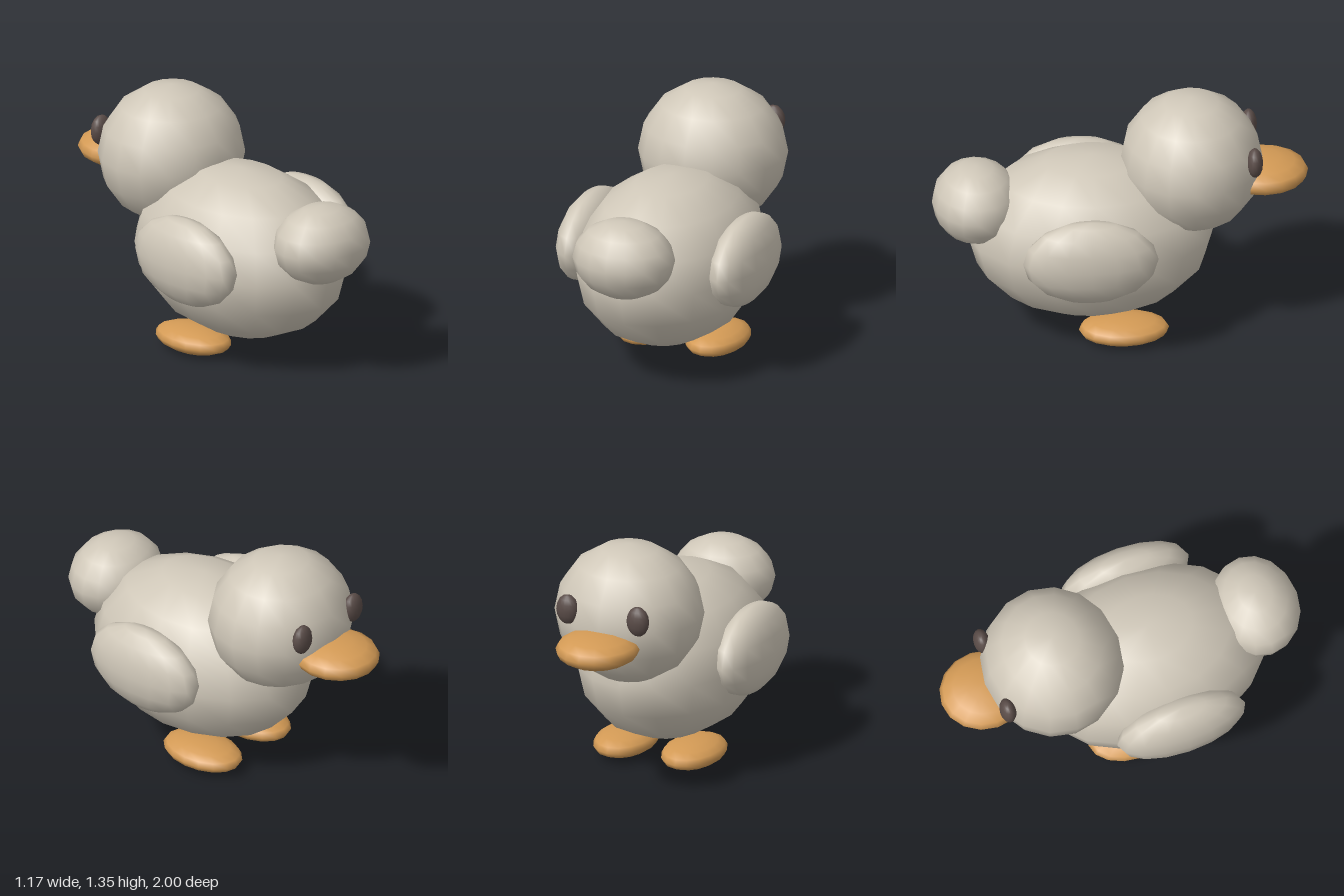
import * as THREE from 'three';

const material = (name, color) => {
  const m = new THREE.MeshStandardMaterial({ color });
  m.name = name;
  return m;
};

// Low-sided ellipsoid with smooth normals
function ellipsoid(name, mat, [x, y, z], [rx, ry, rz]) {
  const geometry = new THREE.SphereGeometry(1, 16, 8).scale(rx, ry, rz);
  const mesh = new THREE.Mesh(geometry, mat);
  mesh.name = name;
  mesh.position.set(x, y, z);
  return mesh;
}

export function createModel() {
  const down = material('warm grey down', 0xcfc7b8);
  const orange = material('orange', 0xd39a55);
  const dark = material('dark eye', 0x5a4c48);

  const duck = new THREE.Group();
  duck.name = 'duckling';

  // Central parts; the beak points toward -z
  duck.add(
    ellipsoid('body', down, [0, 0.57, 0.155], [0.48, 0.463, 0.657]),
    ellipsoid('head', down, [0, 0.972, -0.378], [0.402, 0.382, 0.38]),
    ellipsoid('tail', down, [0, 0.775, 0.765], [0.28, 0.215, 0.235]),
    ellipsoid('beak', orange, [0, 0.89, -0.76], [0.222, 0.09, 0.24])
  );

  // Mirrored parts
  for (const [side, s] of [['left', 1], ['right', -1]]) {
    duck.add(
      ellipsoid(side + 'Wing', down, [s * 0.443, 0.63, 0.19], [0.14, 0.24, 0.36]),
      ellipsoid(side + 'Foot', orange, [s * 0.2, 0.072, -0.005], [0.16, 0.069, 0.24]),
      ellipsoid(side + 'Eye', dark, [s * 0.207, 1.058, -0.701], [0.064, 0.083, 0.043])
    );
  }
  return duck;
}
